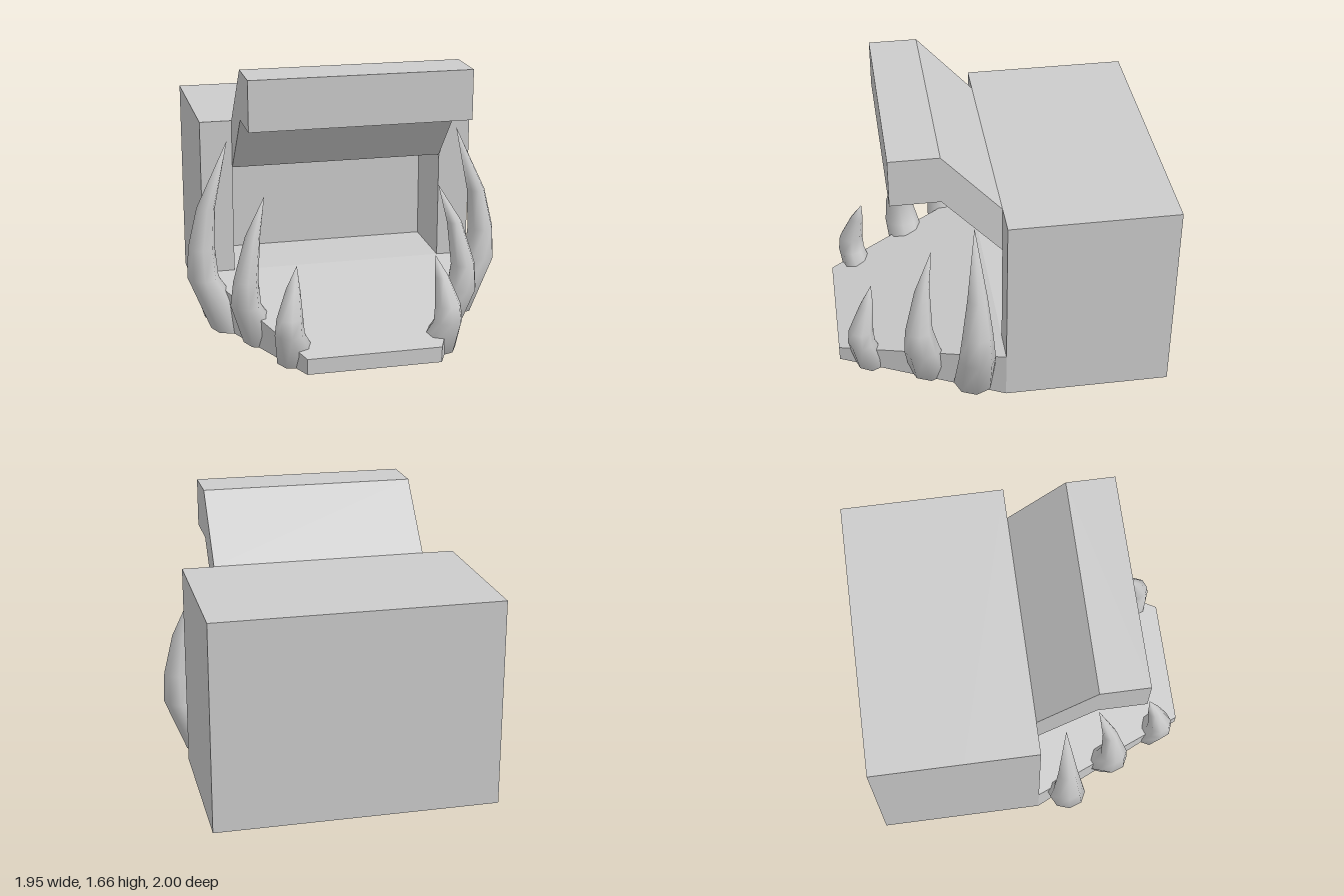
import * as THREE from 'three';

const material = new THREE.MeshStandardMaterial({ color: 0xcccccc });

function add(group, name, geometry) {
  const mesh = new THREE.Mesh(geometry, material);
  mesh.name = name;
  group.add(mesh);
  return mesh;
}

// Smooth eight-sided fang lofted through rings [x, y, z, rx, rz], ending in a point
function fangGeometry(rings, side) {
  const n = 8, pos = [], index = [];
  const base = rings[0], tip = rings[rings.length - 1];
  const body = rings.slice(0, -1);
  for (const [x, y, z, rx, rz] of body) {
    for (let i = 0; i < n; i++) {
      const a = (i / n) * Math.PI * 2;
      pos.push(side * x + rx * Math.cos(a), y, z + rz * Math.sin(a));
    }
  }
  const tipId = pos.length / 3, baseId = tipId + 1;
  pos.push(side * tip[0], tip[1], tip[2], side * base[0], base[1], base[2]);
  for (let i = 0; i < n; i++) {
    const j = (i + 1) % n;
    for (let k = 0; k < body.length - 1; k++) {
      const a = k * n + i, b = k * n + j;
      index.push(a, a + n, b, b, a + n, b + n);
    }
    const top = (body.length - 1) * n;
    index.push(top + i, tipId, top + j);
    index.push(baseId, i, j);
  }
  const g = new THREE.BufferGeometry();
  g.setAttribute('position', new THREE.Float32BufferAttribute(pos, 3));
  g.setIndex(index);
  g.computeVertexNormals();
  return g;
}

export function createModel() {
  const group = new THREE.Group();
  const W = 0.855, H = 1.265, mouthW = 0.66, front = 0.01, cavityBack = -0.44;

  // Back block of the head
  const depth = cavityBack + 1;
  add(group, 'headBack', new THREE.BoxGeometry(2 * W, H, depth)
    .translate(0, H / 2, -1 + depth / 2));

  // Front block with the mouth opening
  const frame = new THREE.Shape([[-W, 0], [W, 0], [W, H], [-W, H]]
    .map(p => new THREE.Vector2(...p)));
  frame.holes.push(new THREE.Path([[-mouthW, 0.3], [-mouthW, 0.97], [mouthW, 0.97], [mouthW, 0.3]]
    .map(p => new THREE.Vector2(...p))));
  add(group, 'mouthFrame', new THREE.ExtrudeGeometry(frame, { depth: front - cavityBack, bevelEnabled: false })
    .translate(0, 0, cavityBack));

  // Lower jaw: a box narrowed and lowered towards the front
  const jaw = new THREE.BoxGeometry(2, 1, 1);
  const p = jaw.attributes.position;
  for (let i = 0; i < p.count; i++) {
    const ahead = p.getZ(i) > 0, up = p.getY(i) > 0;
    p.setXYZ(i, p.getX(i) * (ahead ? 0.4 : W), up ? (ahead ? 0.095 : 0.3) : 0, ahead ? 1 : front);
  }
  jaw.computeVertexNormals();
  add(group, 'lowerJaw', jaw);

  // Upper jaw: bent slab, side profile in (z, y) swept across x
  const snout = new THREE.Shape([[0.01, 0.97], [0.36, 1.355], [0.655, 1.355],
    [0.655, 1.655], [0.36, 1.655], [0.01, H]].map(([z, y]) => new THREE.Vector2(-z, y)));
  add(group, 'upperJaw', new THREE.ExtrudeGeometry(snout, { depth: 2 * mouthW, bevelEnabled: false })
    .translate(0, 0, -mouthW).rotateY(Math.PI / 2));

  // Three curved fangs on each side, shrinking towards the front
  const fangs = {
    rearFang: [[0.71, -0.002, 0.19, 0.13, 0.125], [0.882, 0.34, 0.19, 0.095, 0.112],
      [0.887, 0.53, 0.187, 0.082, 0.092], [0.853, 0.78, 0.183, 0.057, 0.06], [0.715, 1.19, 0.18]],
    middleFang: [[0.55, -0.002, 0.45, 0.13, 0.125], [0.67, 0.26, 0.5, 0.092, 0.11],
      [0.67, 0.42, 0.517, 0.075, 0.083], [0.62, 0.68, 0.485, 0.046, 0.046], [0.535, 0.9, 0.417]],
    frontFang: [[0.41, -0.002, 0.805, 0.13, 0.105], [0.475, 0.2, 0.86, 0.088, 0.083],
      [0.473, 0.3, 0.857, 0.078, 0.075], [0.445, 0.46, 0.815, 0.042, 0.042], [0.414, 0.585, 0.778]],
  };
  for (const [name, rings] of Object.entries(fangs)) {
    add(group, name + 'Left', fangGeometry(rings, 1));
    add(group, name + 'Right', fangGeometry(rings, -1));
  }
  return group;
}
